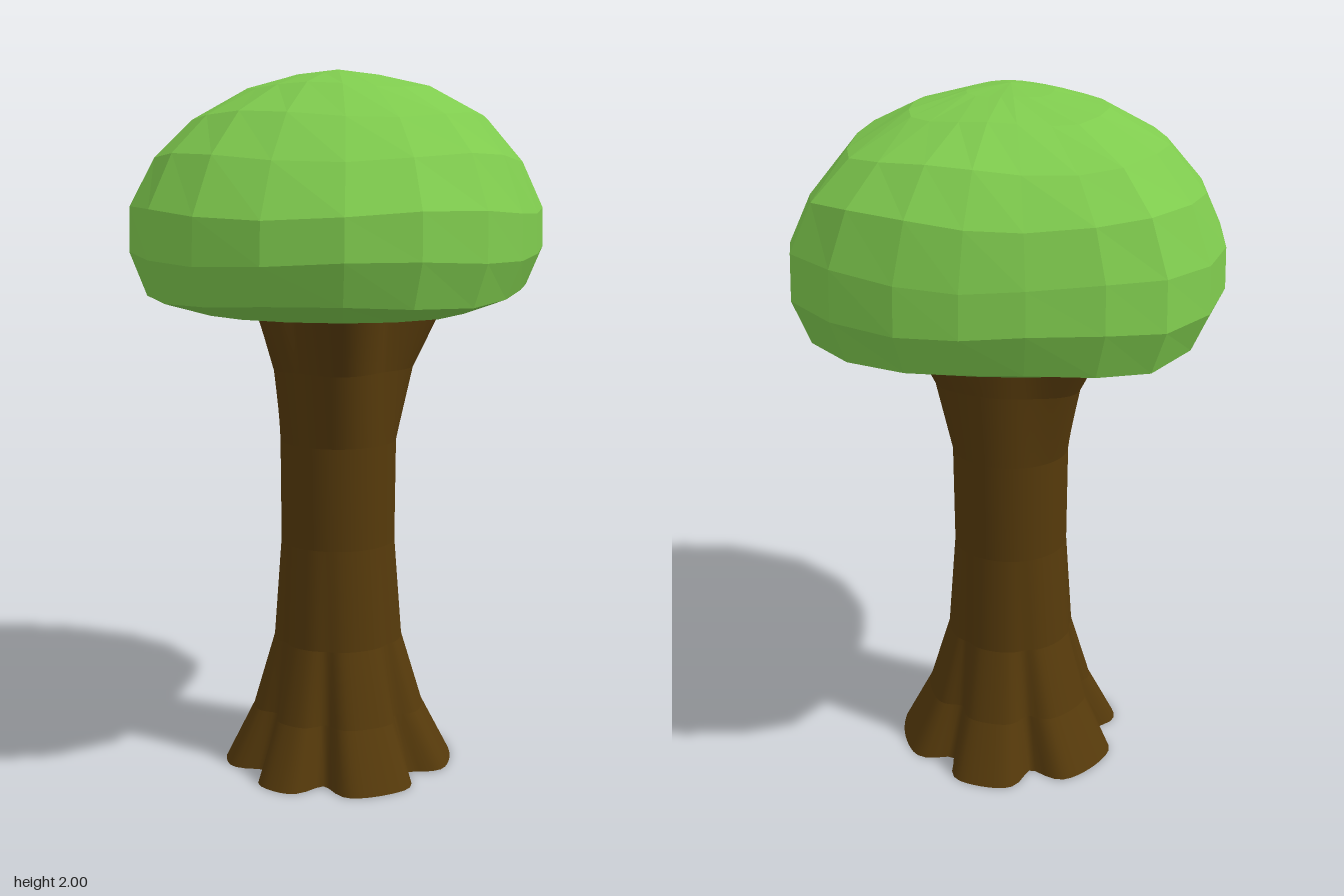
import * as THREE from 'three';
import { mergeGeometries } from 'three/addons/utils/BufferGeometryUtils.js';

const V = (x, y, z) => new THREE.Vector3(x, y, z);

// Indexed surface from rings of points; optional end points close it.
function loft(rings, bottom, top) {
  const n = rings[0].length, points = rings.flat(), index = [];
  for (let r = 0; r < rings.length - 1; r++) {
    for (let i = 0; i < n; i++) {
      const a = r * n + i, b = r * n + (i + 1) % n;
      index.push(a, a + n, b + n, a, b + n, b);
    }
  }
  const cap = (centre, start, up) => {
    const c = points.push(centre) - 1;
    for (let i = 0; i < n; i++) {
      const a = start + i, b = start + (i + 1) % n;
      index.push(...(up ? [c, b, a] : [c, a, b]));
    }
  };
  if (bottom) cap(bottom, 0, false);
  if (top) cap(top, (rings.length - 1) * n, true);
  const g = new THREE.BufferGeometry().setFromPoints(points);
  g.setIndex(index);
  g.computeVertexNormals();
  return g;
}

// 1 at the centre of a bump, falling to 0 beyond its width (degrees)
function bump(angle, centre, width) {
  const d = ((angle - centre + 540) % 360) - 180;
  return Math.exp(-((d / width) ** 2));
}

const rootGrooves = [30, 92, 140, 187, 255, 313];
// direction, half width and reach of each branch
const branches = [[347, 30, 1], [80, 27, 0.96], [145, 20, 0.6], [213, 26, 1.1]];

function trunkRing(y, radius, grooveDepth, flare) {
  const n = 90;
  return Array.from({ length: n }, (_, i) => {
    const deg = i * 360 / n, a = deg * Math.PI / 180;
    const root = Math.max(...rootGrooves.map((c) => bump(deg, c, 9)));
    const branch = Math.max(...branches.map(([c, w, reach]) => reach * bump(deg, c, w)));
    const r = radius * (1 - grooveDepth * root) + flare * branch;
    return V(r * Math.cos(a), y, r * Math.sin(a));
  });
}

function createTrunk() {
  // height, radius, root groove depth, branch flare
  const rings = [
    [0, 0.335, 0.25, 0], [0.165, 0.25, 0.17, 0], [0.375, 0.187, 0.04, 0],
    [0.665, 0.165, 0, 0], [0.96, 0.166, 0, 0.002], [1.17, 0.168, 0, 0.048],
    [1.36, 0.18, 0, 0.13],
  ].map((p) => trunkRing(...p));
  // each band is smooth around and creased against its neighbours
  const bands = rings.slice(1).map((ring, i) => loft([rings[i], ring]));
  bands.push(loft([rings[0]], V(0, 0, 0)), loft([rings[6]], null, V(0, 1.36, 0)));
  const mesh = new THREE.Mesh(mergeGeometries(bands),
    new THREE.MeshStandardMaterial({ color: 0x563a0b }));
  mesh.name = 'trunk';
  return mesh;
}

function createCanopy() {
  // widest outline seen from above (x, z)
  const outline = [
    [-0.05, -0.62], [0.11, -0.615], [0.27, -0.575], [0.435, -0.485], [0.55, -0.355],
    [0.575, -0.2], [0.56, 0], [0.52, 0.205], [0.435, 0.42], [0.28, 0.555],
    [0.095, 0.615], [-0.115, 0.605], [-0.3, 0.535], [-0.445, 0.41], [-0.54, 0.24],
    [-0.575, 0.03], [-0.57, -0.18], [-0.51, -0.38], [-0.39, -0.55], [-0.24, -0.605],
  ];
  // height, scale in x, scale in z, shift in z, unevenness
  const rings = [
    [1.34, 0.7, 0.69, -0.015, 0], [1.39, 0.92, 0.94, 0, 0.008], [1.5, 1, 1, 0, 0.01],
    [1.62, 0.995, 0.98, 0, 0.012], [1.76, 0.89, 0.87, -0.03, 0.012],
    [1.87, 0.72, 0.69, -0.045, 0.01], [1.95, 0.45, 0.44, -0.035, 0.006],
    [1.985, 0.2, 0.2, -0.01, 0.002],
  ].map(([y, sx, sz, dz, wave], k) => outline.map(([x, z], i) => {
    const lift = wave * Math.sin(i * 0.4 * Math.PI + k * 1.1);
    return V(x * sx, y + lift, z * sz + dz);
  }));
  const mesh = new THREE.Mesh(loft(rings, V(0, 1.345, 0), V(0, 2, 0)),
    new THREE.MeshStandardMaterial({ color: 0x7fcb4e, flatShading: true }));
  mesh.name = 'canopy';
  return mesh;
}

export function createModel() {
  const group = new THREE.Group();
  group.name = 'tree';
  group.add(createTrunk(), createCanopy());
  return group;
}
